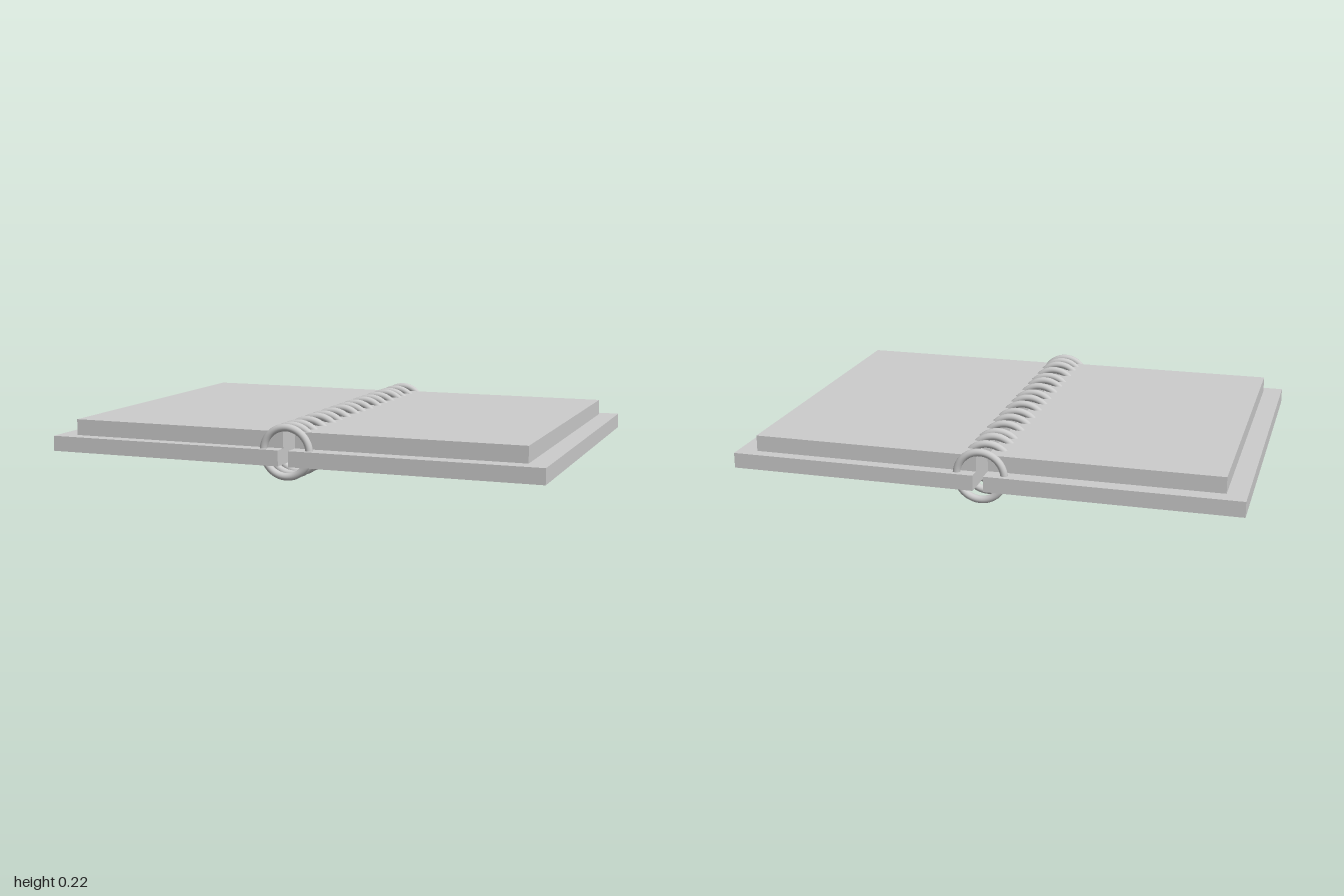
import * as THREE from 'three';

const material = new THREE.MeshStandardMaterial({ color: 0xcccccc });

// Box given by its min/max extents on each axis
function slab(name, [x0, x1], [y0, y1], [z0, z1]) {
  const mesh = new THREE.Mesh(new THREE.BoxGeometry(x1 - x0, y1 - y0, z1 - z0), material);
  mesh.position.set((x0 + x1) / 2, (y0 + y1) / 2, (z0 + z1) / 2);
  mesh.name = name;
  return mesh;
}

export function createModel() {
  const model = new THREE.Group();
  model.name = 'ringBinderNotebook';

  // Open covers with a narrow gap at the spine
  const coverY = [0.06, 0.121], coverZ = [-0.715, 0.715];
  model.add(slab('leftCover', [0.021, 1], coverY, coverZ));
  model.add(slab('rightCover', [-1, -0.021], coverY, coverZ));

  // Page blocks, slightly offset from each other along the spine
  const pageY = [0.121, 0.185];
  model.add(slab('leftPages', [0.021, 0.922], pageY, [-0.669, 0.649]));
  model.add(slab('rightPages', [-0.922, -0.021], pageY, [-0.653, 0.663]));

  // Unevenly spaced binding rings threaded through covers and pages
  const ringZ = [
    -0.683, -0.583, -0.491, -0.432, -0.331, -0.241, -0.162, -0.06, 0.031,
    0.106, 0.206, 0.298, 0.369, 0.468, 0.56, 0.623, 0.683,
  ];
  const tube = 0.0145, radius = 0.094;
  const ringGeometry = new THREE.TorusGeometry(radius, tube, 16, 64);
  const rings = new THREE.Group();
  rings.name = 'bindingRings';
  ringZ.forEach((z, i) => {
    const ring = new THREE.Mesh(ringGeometry, material);
    ring.position.set(0, radius + tube + 0.002, z);
    ring.name = `bindingRing${i + 1}`;
    rings.add(ring);
  });
  model.add(rings);

  return model;
}
